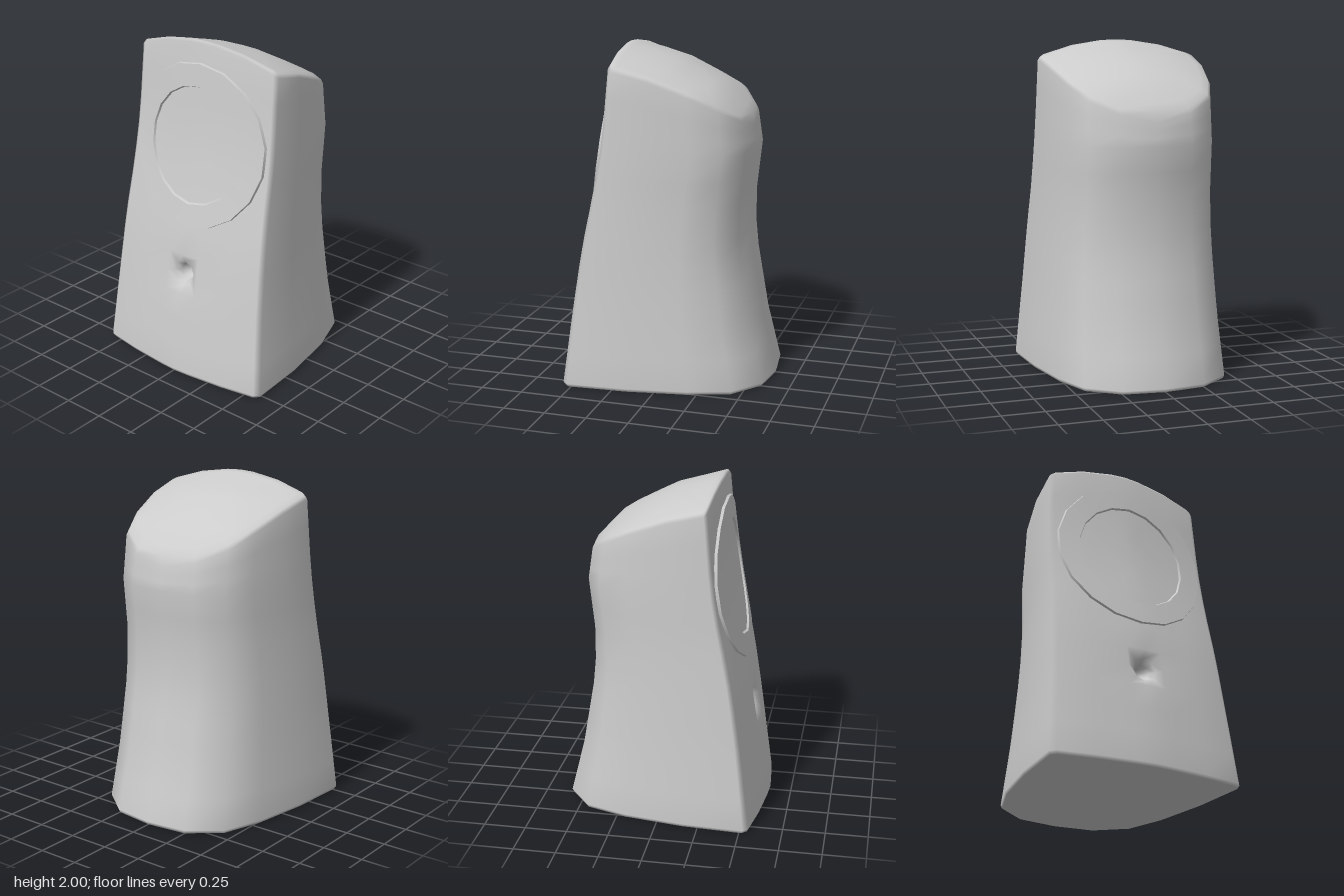
import * as THREE from 'three';
import { mergeGeometries, mergeVertices } from 'three/addons/utils/BufferGeometryUtils.js';

// Piecewise linear lookup in [key, value] pairs with rising keys
function lookup(table, k) {
  if (k <= table[0][0]) return table[0][1];
  for (let i = 1; i < table.length; i++) {
    const [k0, v0] = table[i - 1], [k1, v1] = table[i];
    if (k <= k1) return v0 + (v1 - v0) * (k - k0) / (k1 - k0);
  }
  return table[table.length - 1][1];
}

// Cabinet profiles by height, and the sloping top by depth
const halfWidth = [[0, 0.6], [0.5, 0.563], [1.1, 0.527], [1.9, 0.503], [2, 0.5]];
const frontZ = [[0, 0.625], [0.2, 0.595], [0.5, 0.55], [0.74, 0.51], [0.9, 0.48], [1.1, 0.437],
  [1.25, 0.405], [1.4, 0.378], [1.58, 0.352], [1.77, 0.333], [2, 0.308]];
const backZ = [[0, -0.625], [0.35, -0.535], [0.83, -0.45], [1.1, -0.45], [1.4, -0.483], [1.6, -0.452], [2, -0.4]];
const topY = [[-0.49, 1.4], [-0.45, 1.6], [-0.3, 1.76], [-0.01, 1.91], [0.3, 2], [0.7, 2]];

// Half outline from front centre to back centre, as fractions of width and depth
const outline = [[0, 1], [0.2, 0.988], [0.58, 0.95], [0.95, 0.89], [1, 0.84],
  [0.965, 0.26], [0.87, -0.32], [0.73, -0.72], [0.42, -0.95], [0, -1]];
const columns = [...outline, ...outline.slice(1, -1).reverse().map(([u, v]) => [-u, v])];

const bodyPoint = (u, v, y) => {
  const f = lookup(frontZ, y), b = lookup(backZ, y);
  return [u * lookup(halfWidth, y), y, (f + b) / 2 + v * (f - b) / 2];
};
const frontPoint = (x, y, offset) => {
  const u = x / lookup(halfWidth, y);
  const p = bodyPoint(u, lookup(outline.slice(0, 5), Math.abs(u)), y);
  return [x, y, p[2] + offset];
};
const topHeight = (x, z) => lookup(topY, z) - 0.36 * x * x;

// Skin a list of equal loops
function loft(loops, skip = () => false) {
  const n = loops[0].length, index = [];
  for (let i = 0; i < loops.length - 1; i++) {
    for (let j = 0; j < n; j++) {
      if (skip(i, j)) continue;
      const a = i * n + j, b = i * n + (j + 1) % n;
      index.push(a, b, b + n, a, b + n, a + n);
    }
  }
  const g = new THREE.BufferGeometry();
  g.setAttribute('position', new THREE.Float32BufferAttribute(loops.flat(2), 3));
  g.setIndex(index);
  return g;
}

function smooth(parts) {
  const g = mergeVertices(mergeGeometries(parts), 1e-4);
  g.computeVertexNormals();
  return g;
}

// Loop on the front panel
const frontLoop = (cy, r, offset, n, start) => Array.from({ length: n }, (_, k) => {
  const a = start + k * Math.PI * 2 / n;
  return frontPoint(r * Math.cos(a), cy + r * Math.sin(a), offset);
});

function cabinetGeometry() {
  // Height where each column meets the sloping top
  const rimY = columns.map(([u, v]) => {
    let lo = 1.2, hi = 2.05;
    for (let k = 0; k < 30; k++) {
      const mid = (lo + hi) / 2, p = bodyPoint(u, v, mid);
      if (mid < topHeight(p[0], p[2])) lo = mid; else hi = mid;
    }
    return lo;
  });
  const ring = (yOf) => columns.map(([u, v], j) => bodyPoint(u, v, yOf(j)));

  // Underside, walls
  const loops = [
    columns.map(() => [0, 0, 0]),
    ring(() => 0).map(([x, y, z]) => [x * 0.98, 0, z * 0.98]),
  ];
  for (const y of [0.02, 0.2, 0.35, 0.5, 0.62, 0.74, 0.9, 1.1, 1.25, 1.4]) loops.push(ring(() => y));
  for (const t of [1 / 3, 2 / 3, 1]) loops.push(ring((j) => 1.4 + (rimY[j] - 0.018 - 1.4) * t));

  // Sloping domed top
  const rim = ring((j) => rimY[j]), cz = -0.05;
  for (const s of [0.975, 0.88, 0.7, 0.5, 0.25, 0]) {
    loops.push(rim.map(([x, , z]) => {
      const px = x * s, pz = cz + (z - cz) * s;
      return [px, topHeight(px, pz), pz];
    }));
  }

  // Bass port sunk into an opening in the front wall
  const r = 5, last = columns.length - 1;
  const edge = [[r, last], [r, 0], [r, 1], [r + 1, 1], [r + 2, 1], [r + 2, 0], [r + 2, last], [r + 1, last]];
  const port = [edge.map(([i, j]) => loops[i][j])];
  for (const [rad, depth] of [[0.075, -0.025], [0.05, -0.065], [0.033, -0.12], [0, -0.14]]) {
    port.push(frontLoop(0.615, rad, depth, 8, -Math.PI * 0.75));
  }
  const skip = (i, j) => (i === r || i === r + 1) && (j === 0 || j === last);
  return smooth([loft(loops, skip), loft(port)]);
}

export function createModel() {
  const group = new THREE.Group();
  const material = new THREE.MeshStandardMaterial({ color: 0xcccccc, side: THREE.DoubleSide });
  const add = (name, geometry) => {
    const mesh = new THREE.Mesh(geometry, material);
    mesh.name = name;
    group.add(mesh);
  };
  const discs = (list) => loft(list.map(([r, offset]) => frontLoop(1.397, r, offset, 18, Math.PI / 2)));

  add('cabinet', cabinetGeometry());
  // Raised surround, with separate walls so its rims stay sharp
  const face = 0.016;
  add('driverSurroundFace', smooth([discs([[0.476, face], [0.41, face], [0.345, face]])]));
  add('driverSurroundOuterWall', smooth([discs([[0.482, -0.01], [0.476, face]])]));
  add('driverSurroundInnerWall', smooth([discs([[0.345, face], [0.336, -0.005]])]));
  // Driver set back inside the surround
  add('driverCone', smooth([discs([[0.338, 0.004], [0.25, 0.004], [0.125, 0.004], [0, 0.004]])]));
  return group;
}
